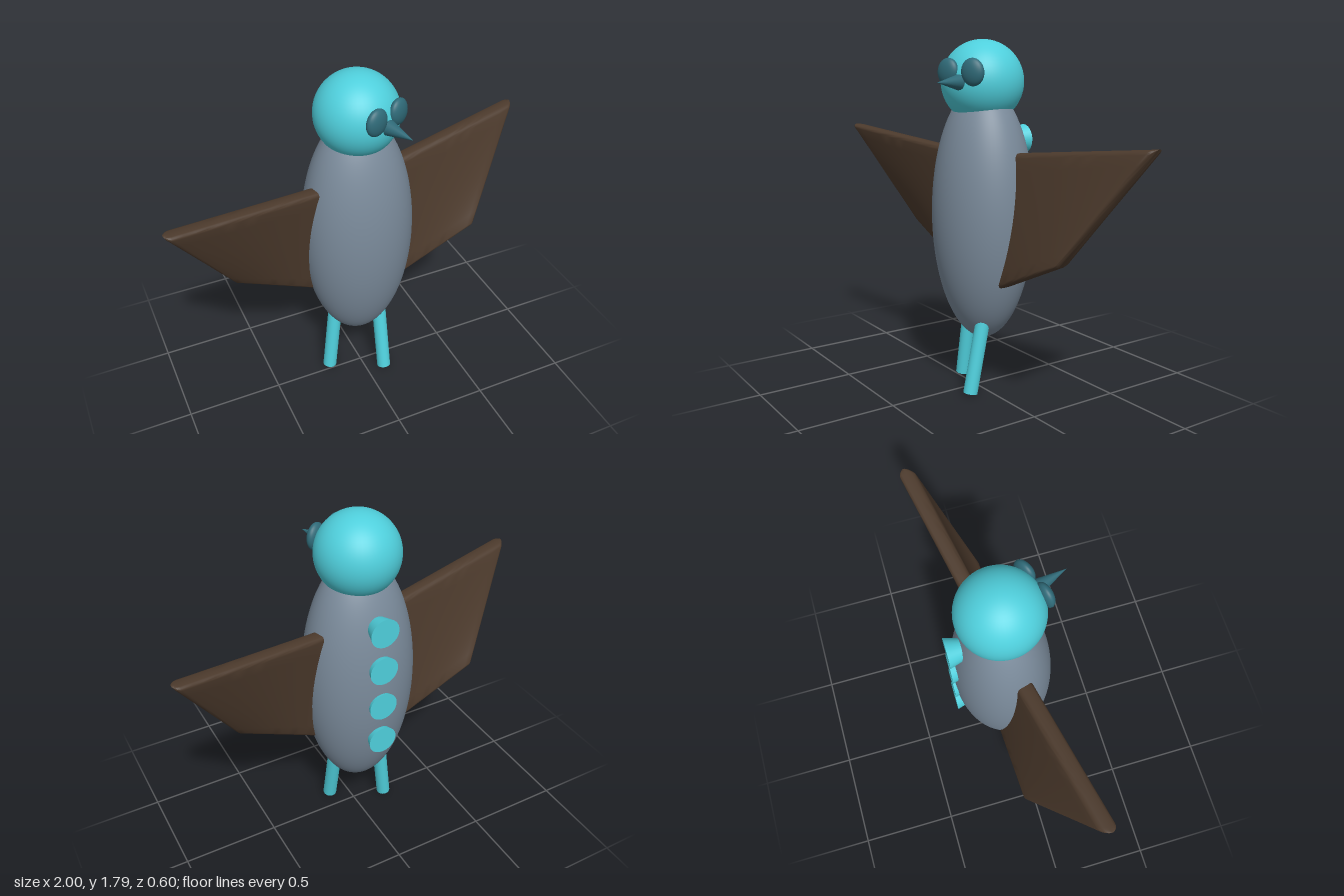
import * as THREE from 'three';
import { toCreasedNormals } from 'three/addons/utils/BufferGeometryUtils.js';

const V = (x, y, z) => new THREE.Vector3(x, y, z);
const material = (color) => new THREE.MeshStandardMaterial({ color });
const teal = material(0x4fcfdc);
const darkTeal = material(0x2f6a78);
const slate = material(0x7a8a9a);
const brown = material(0x4c3a2c);

function add(parent, name, geometry, mat, position) {
  const mesh = new THREE.Mesh(geometry, mat);
  mesh.name = name;
  if (position) mesh.position.copy(position);
  parent.add(mesh);
  return mesh;
}

// Round bar or cone running from one point to another
function bar(parent, name, from, to, r0, r1, mat) {
  const dir = to.clone().sub(from);
  const geometry = new THREE.CylinderGeometry(r1, r0, dir.length(), 32);
  const mesh = add(parent, name, geometry, mat, from.clone().add(to).multiplyScalar(0.5));
  mesh.quaternion.setFromUnitVectors(V(0, 1, 0), dir.normalize());
  return mesh;
}

// Thick, twisted wing with rounded edges, lofted between a root edge and a tip edge
function wingGeometry() {
  const rootLow = V(0.22, 0.575, -0.01), rootHigh = V(0.22, 1.247, -0.095);
  const tipLow = V(0.66, 0.775, -0.01), tipHigh = V(1.0, 1.325, -0.253);
  const half = 0.041, round = 0.026, faceSteps = 10, arcSteps = 5;

  // Cross-sections: [position along the span, half thickness]
  const sections = [];
  for (let i = 0; i < 14; i++) sections.push([(i / 14) * 0.96, half]);
  for (let i = 0; i <= arcSteps; i++) {
    const a = (i / arcSteps) * Math.PI / 2;
    sections.push([0.96 + 0.04 * Math.sin(a), half - round * (1 - Math.cos(a))]);
  }

  const positions = [], index = [];
  let count = 0;
  for (const [u, h] of sections) {
    const low = rootLow.clone().lerp(tipLow, u);
    const high = rootHigh.clone().lerp(tipHigh, u);
    const r = Math.min(round, h), rc = r / low.distanceTo(high);
    const ring = [];
    for (const side of [1, -1]) {
      // one face, then the rounded edge leading to the other face
      for (let k = 0; k < faceSteps; k++) {
        const c = rc + (1 - 2 * rc) * (k / faceSteps);
        ring.push([side > 0 ? c : 1 - c, side * h]);
      }
      for (let k = 0; k <= 2 * arcSteps; k++) {
        const a = (k / (2 * arcSteps)) * Math.PI;
        const c = 1 - rc + rc * Math.sin(a);
        const t = Math.cos(a) * r + Math.sign(Math.round(Math.cos(a) * 1e6)) * (h - r);
        ring.push([side > 0 ? c : 1 - c, side * t]);
      }
    }
    for (const [c, t] of ring) {
      const p = low.clone().lerp(high, c);
      positions.push(p.x, p.y, p.z + t);
    }
    count = ring.length;
  }
  for (let i = 0; i < sections.length - 1; i++) {
    for (let j = 0; j < count; j++) {
      const a = i * count + j, d = i * count + (j + 1) % count;
      index.push(a, a + count, d + count, a, d + count, d);
    }
  }
  // Closed tip
  const last = (sections.length - 1) * count;
  const mid = tipLow.clone().lerp(tipHigh, 0.5);
  positions.push(mid.x, mid.y, mid.z);
  for (let j = 0; j < count; j++) index.push(last + count, last + (j + 1) % count, last + j);

  const geometry = new THREE.BufferGeometry();
  geometry.setAttribute('position', new THREE.Float32BufferAttribute(positions, 3));
  geometry.setIndex(index);
  return toCreasedNormals(geometry, 0.7);
}

export function createModel() {
  const model = new THREE.Group();
  model.name = 'bird';

  // Egg-shaped body
  const body = add(model, 'body', new THREE.SphereGeometry(1, 64, 48), slate, V(0, 0.92, -0.042));
  body.scale.set(0.29, 0.655, 0.247);

  // Head, with the face turned to the bird's left
  add(model, 'head', new THREE.SphereGeometry(0.208, 48, 32), teal, V(0, 1.587, -0.04));
  const eyes = [
    ['rightEye', V(0.005, 1.637, 0.165), 0.33, -0.15],
    ['leftEye', V(0.138, 1.637, 0.112), 0.5, 0.15],
  ];
  for (const [name, position, turn, roll] of eyes) {
    const eye = add(model, name, new THREE.SphereGeometry(1, 32, 24), darkTeal, position);
    eye.scale.set(0.06, 0.067, 0.031);
    eye.rotation.set(0, turn, roll);
  }
  bar(model, 'beak', V(0.066, 1.588, 0.13), V(0.12, 1.59, 0.3), 0.043, 0, darkTeal);

  // Wings, the right one being the left one turned half a circle about the body
  const wing = wingGeometry();
  add(model, 'leftWing', wing, brown);
  add(model, 'rightWing', wing, brown, V(0, 0, -0.09)).rotation.y = Math.PI;

  // Legs
  bar(model, 'leftLeg', V(0.1, 0.01, 0.102), V(0.1, 0.45, 0.01), 0.037, 0.037, teal);
  bar(model, 'rightLeg', V(-0.176, 0.008, -0.034), V(-0.125, 0.42, -0.052), 0.037, 0.037, teal);

  // Flared studs down the back
  for (let i = 0; i < 4; i++) {
    const y = 1.29 - i * 0.212;
    bar(model, 'backStud', V(0, y, -0.2), V(0, y, -0.302), 0.045, 0.075, teal);
  }
  return model;
}
